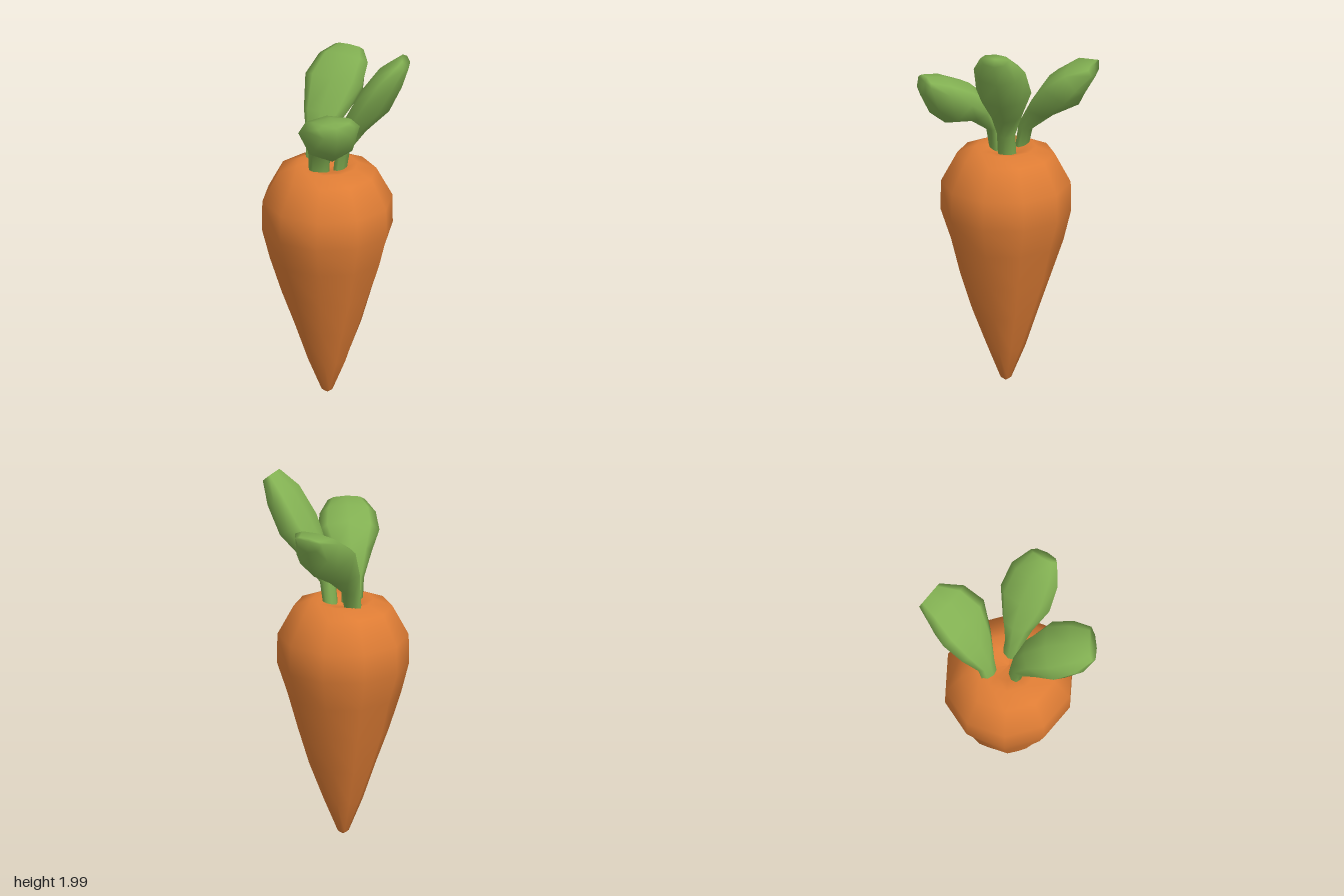
import * as THREE from 'three';

const orange = new THREE.MeshStandardMaterial({ color: 0xdf7d35 });
orange.name = 'carrot orange';
const green = new THREE.MeshStandardMaterial({ color: 0x82b052 });
green.name = 'leaf green';

// Ten-sided tapering root with a shallow dip in its crown
function makeRoot() {
  const profile = [
    [0, 0], [0.03, 0.02], [0.105, 0.2], [0.178, 0.4], [0.245, 0.6], [0.305, 0.8],
    [0.355, 0.97], [0.352, 1.13], [0.265, 1.29], [0.165, 1.33], [0.1, 1.315], [0, 1.29],
  ].map(([r, y]) => new THREE.Vector2(r, y));
  const geo = new THREE.LatheGeometry(profile, 10, Math.PI / 2);

  // Slight hand-shaped unevenness below the shoulders
  const pos = geo.attributes.position;
  for (let i = 0; i < pos.count; i++) {
    const x = pos.getX(i), y = pos.getY(i), z = pos.getZ(i);
    const k = y < 0.9 ? 1 + 0.025 * Math.sin(3 * Math.atan2(z, x) + y * 9) : 1;
    pos.setXYZ(i, x * k, y, z * k * 0.98);
  }
  const root = new THREE.Mesh(geo, orange);
  root.name = 'root';
  root.position.set(-0.045, 0, 0.025);
  return root;
}

// Thick leaf lofted along a spine; each row is
// [x, y, z, halfWidth, heightAboveSpine, depthBelowSpine]
function makeLeaf(name, rows) {
  const SIDES = 8;
  const spine = rows.map(([x, y, z]) => new THREE.Vector3(x, y, z));
  const last = spine.length - 1;
  const lean = spine[last].clone().sub(spine[0]);
  const across = new THREE.Vector3(0, 1, 0).cross(lean).normalize();
  const verts = [], index = [];

  rows.forEach(([, , , w, above, below], i) => {
    const tangent = spine[Math.min(i + 1, last)].clone().sub(spine[Math.max(i - 1, 0)]);
    const normal = tangent.cross(across).normalize();
    for (let j = 0; j < SIDES; j++) {
      const a = (j / SIDES) * Math.PI * 2;
      const s = Math.sin(a);
      const p = spine[i].clone()
        .addScaledVector(across, w * Math.cos(a))
        .addScaledVector(normal, s * (s > 0 ? above : below));
      verts.push(p.x, p.y, p.z);
      if (i < last) {
        const k = (j + 1) % SIDES;
        const a0 = i * SIDES + j, b0 = i * SIDES + k;
        index.push(a0, b0, b0 + SIDES, a0, b0 + SIDES, a0 + SIDES);
      }
    }
  });

  // Blunt tip
  const tip = verts.length / 3;
  verts.push(...spine[last].toArray());
  for (let j = 0; j < SIDES; j++) {
    index.push(last * SIDES + j, last * SIDES + ((j + 1) % SIDES), tip);
  }

  const geo = new THREE.BufferGeometry();
  geo.setAttribute('position', new THREE.Float32BufferAttribute(verts, 3));
  geo.setIndex(index);
  geo.computeVertexNormals();
  const leaf = new THREE.Mesh(geo, green);
  leaf.name = name;
  return leaf;
}

export function createModel() {
  const group = new THREE.Group();
  group.name = 'carrot';
  group.add(
    makeRoot(),
    makeLeaf('backLeaf', [
      [-0.15, 1.26, -0.02, 0.05, 0.035, 0.035],
      [-0.15, 1.42, -0.05, 0.06, 0.04, 0.04],
      [-0.14, 1.55, -0.12, 0.12, 0.04, 0.1],
      [-0.13, 1.71, -0.215, 0.17, 0.03, 0.19],
      [-0.13, 1.79, -0.33, 0.145, 0.03, 0.15],
      [-0.15, 1.81, -0.435, 0.085, 0.015, 0.06],
    ]),
    makeLeaf('sideLeaf', [
      [0.01, 1.26, -0.005, 0.05, 0.035, 0.035],
      [0.035, 1.43, -0.005, 0.05, 0.04, 0.04],
      [0.09, 1.57, -0.025, 0.09, 0.055, 0.075],
      [0.18, 1.73, -0.045, 0.15, 0.065, 0.12],
      [0.275, 1.88, -0.055, 0.14, 0.055, 0.1],
      [0.36, 1.975, -0.06, 0.08, 0.03, 0.05],
    ]),
    makeLeaf('frontLeaf', [
      [-0.065, 1.26, 0.08, 0.055, 0.035, 0.035],
      [-0.055, 1.43, 0.1, 0.06, 0.04, 0.04],
      [0.0, 1.55, 0.155, 0.115, 0.07, 0.09],
      [0.07, 1.63, 0.235, 0.165, 0.08, 0.17],
      [0.14, 1.69, 0.325, 0.15, 0.06, 0.15],
      [0.2, 1.73, 0.395, 0.1, 0.03, 0.07],
    ]),
  );
  return group;
}
